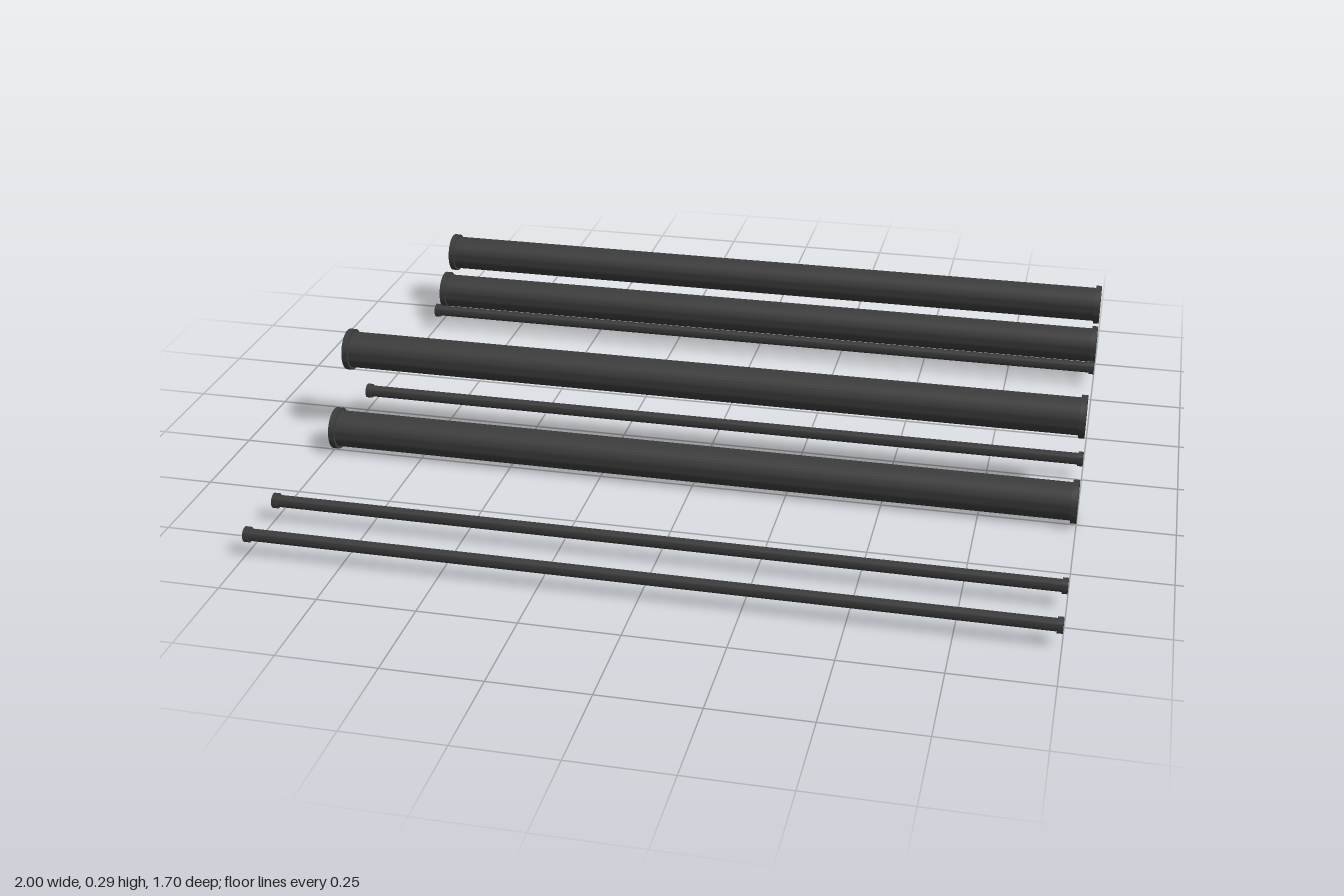
import * as THREE from 'three';
import { toCreasedNormals } from 'three/addons/utils/BufferGeometryUtils.js';

const HALF = 1; // half the pipe length
const material = new THREE.MeshStandardMaterial({ color: 0x3c3c3c });

// Open, thin-walled pipe along x with a collar at each end
function pipeGeometry(inner, outer, collar, collarWidth, segments) {
  const shoulder = HALF - collarWidth;
  const profile = [
    [inner, -HALF], [collar, -HALF], [collar, -shoulder], [outer, -shoulder],
    [outer, shoulder], [collar, shoulder], [collar, HALF], [inner, HALF], [inner, -HALF],
  ].map(([r, y]) => new THREE.Vector2(r, y));
  const lathe = new THREE.LatheGeometry(profile, segments).rotateZ(Math.PI / 2);
  return toCreasedNormals(lathe, Math.PI / 5);
}

export function createModel() {
  const model = new THREE.Group();
  model.name = 'pipes';

  const large = pipeGeometry(0.0465, 0.049, 0.056, 0.016, 40);
  const small = pipeGeometry(0.0145, 0.0155, 0.0195, 0.014, 24);

  const add = (name, geometry, y, z) => {
    const mesh = new THREE.Mesh(geometry, material);
    mesh.name = name;
    mesh.position.set(0, y, z);
    model.add(mesh);
  };

  // Large pipes, as [y, z]
  [[0.056, 0.23], [0.232, 0.096], [0.086, -0.692], [0.173, -0.793]]
    .forEach(([y, z], i) => add(`largePipe${i + 1}`, large, y, z));

  // Small pipes, all at one height
  [0.83, 0.652, -0.013, -0.602]
    .forEach((z, i) => add(`smallPipe${i + 1}`, small, 0.055, z));

  return model;
}
